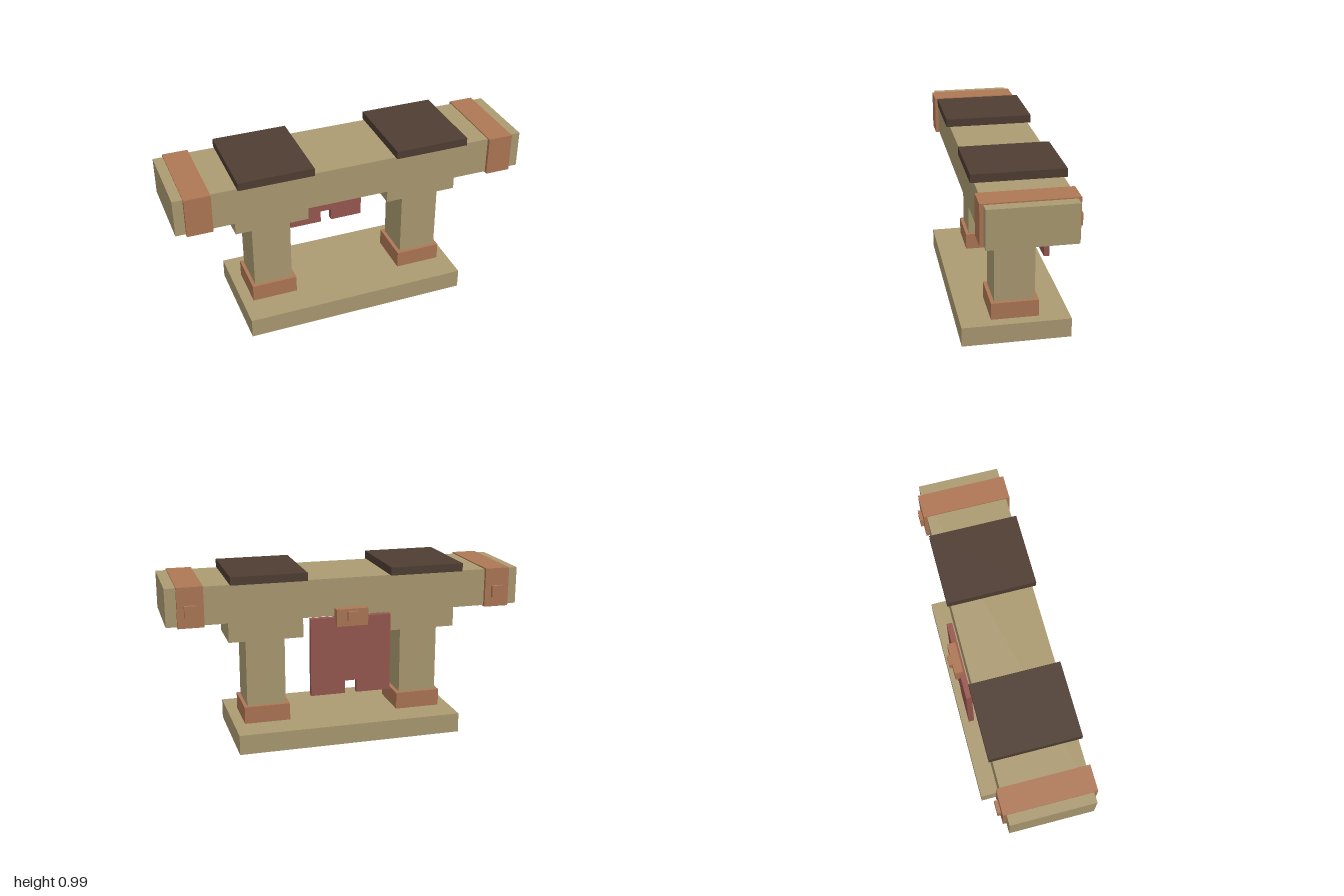
import * as THREE from 'three';

function material(name, color) {
  const m = new THREE.MeshStandardMaterial({ color });
  m.name = name;
  return m;
}

export function createModel() {
  const group = new THREE.Group();
  const stone = material('sandstone', 0xac9b72);
  const copper = material('copper', 0xae7755);
  const cloth = material('red cloth', 0x985850);
  const slate = material('dark slate', 0x4f3e33);

  // Box given by its limits on each axis
  function box(name, mat, [x0, x1], [y0, y1], [z0, z1]) {
    const mesh = new THREE.Mesh(new THREE.BoxGeometry(x1 - x0, y1 - y0, z1 - z0), mat);
    mesh.position.set((x0 + x1) / 2, (y0 + y1) / 2, (z0 + z1) / 2);
    mesh.name = name;
    group.add(mesh);
  }

  // Plinth and long beam
  box('base', stone, [-0.645, 0.64], [0, 0.112], [-0.296, 0.308]);
  box('beam', stone, [-1, 1], [0.733, 0.943], [-0.224, 0.235]);

  for (const [side, s] of [['left', 1], ['right', -1]]) {
    const span = (a, b) => (s > 0 ? [a, b] : [-b, -a]).map((v) => v - 0.002);
    // Column with foot collar and capital
    box(side + 'Foot', copper, span(0.319, 0.58), [0.112, 0.21], [-0.126, 0.138]);
    box(side + 'Column', stone, span(0.34, 0.561), [0.21, 0.595], [-0.106, 0.118]);
    box(side + 'Capital', stone, span(0.237, 0.657), [0.595, 0.733], [-0.126, 0.138]);
    // Dark slab on top of the beam
    box(side + 'TopPad', slate, span(0.237, 0.657), [0.943, 0.988], [-0.243, 0.255]);
    // Band around the beam end, with a buckle at the back
    box(side + 'Band', copper, span(0.8, 0.942), [0.727, 0.949], [-0.243, 0.255]);
    box(side + 'BandBuckle', copper, span(0.837, 0.905), [0.783, 0.85], [-0.262, -0.243]);
  }

  // Hanging banner with a notch in its lower edge
  const outline = [
    [-0.23, 0.292], [-0.036, 0.292], [-0.036, 0.365], [0.031, 0.365],
    [0.031, 0.292], [0.226, 0.292], [0.226, 0.733], [-0.23, 0.733],
  ].map(([x, y]) => new THREE.Vector2(x, y));
  const banner = new THREE.Mesh(
    new THREE.ExtrudeGeometry(new THREE.Shape(outline), { depth: 0.032, bevelEnabled: false }), cloth);
  banner.position.z = -0.262;
  banner.name = 'banner';
  group.add(banner);

  // Clasp holding the banner
  box('bannerClasp', copper, [-0.092, 0.087], [0.687, 0.784], [-0.29, -0.243]);
  box('claspKnob', copper, [-0.032, 0.027], [0.72, 0.771], [-0.307, -0.29]);

  return group;
}
